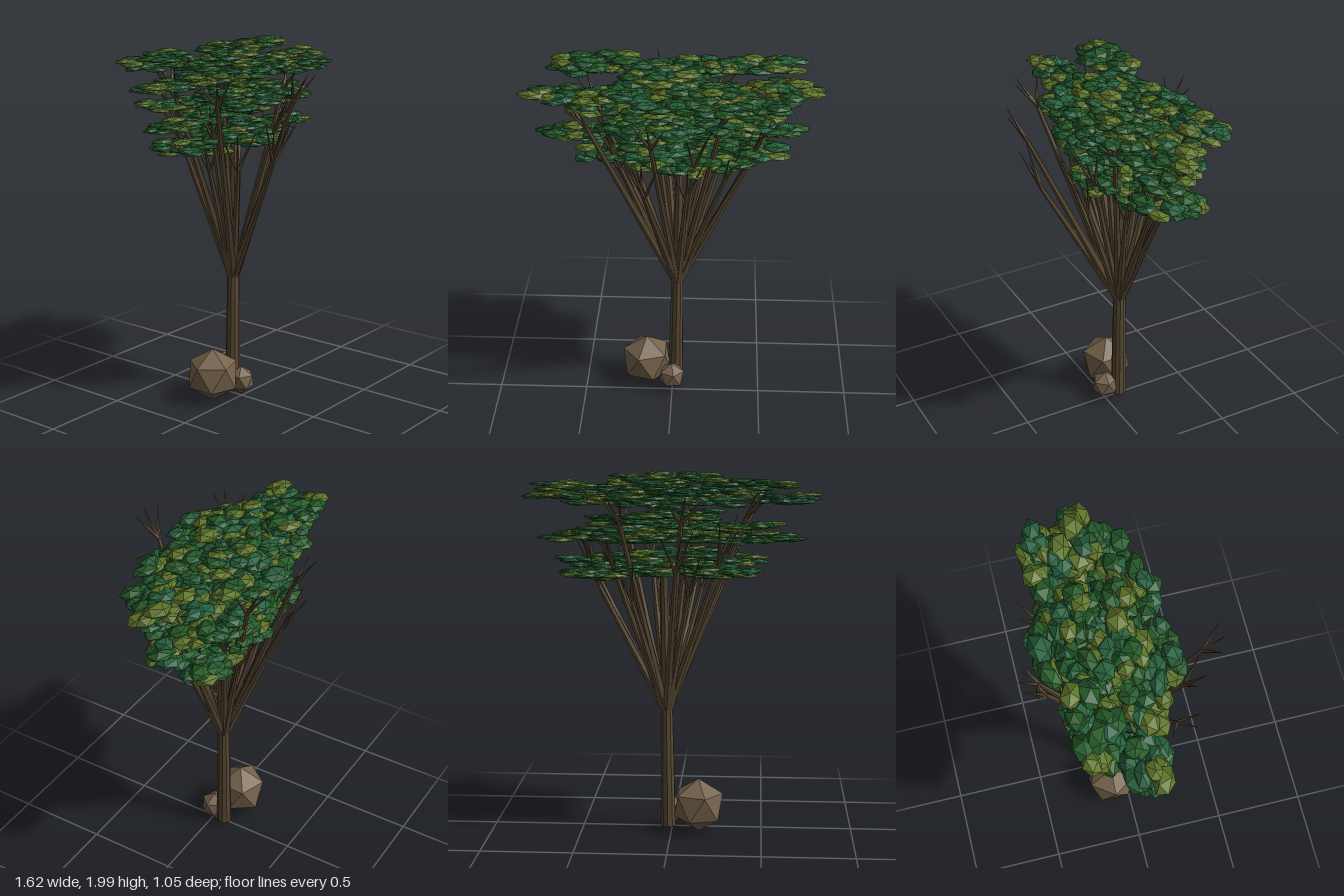
import * as THREE from 'three';
import { mergeGeometries } from 'three/addons/utils/BufferGeometryUtils.js';

let seed = 7;
function rand(a = 0, b = 1) {
  seed = (seed * 16807) % 2147483647;
  return a + (b - a) * (seed / 2147483647);
}

const vec = (x, y, z) => new THREE.Vector3(x, y, z);
const material = (color) => new THREE.MeshStandardMaterial({ color, flatShading: true });

// Tapered round limb between two points
function limb(from, to, r0, r1, sides = 6) {
  const dir = to.clone().sub(from);
  const g = new THREE.CylinderGeometry(r1, r0, dir.length(), sides);
  g.applyQuaternion(new THREE.Quaternion().setFromUnitVectors(vec(0, 1, 0), dir.clone().normalize()));
  const mid = from.clone().add(to).multiplyScalar(0.5);
  return g.translate(mid.x, mid.y, mid.z);
}

// Flattened leaf clump; it keeps the facet normals of the round form so it shades as a full tuft
function clump(x, y, z, rx, ry, rz) {
  const g = new THREE.IcosahedronGeometry(1, 0);
  g.rotateX(rand(0, 6)).rotateZ(rand(0, 6));
  g.attributes.position.applyMatrix4(new THREE.Matrix4().makeScale(rx, ry, rz));
  return g.rotateY(rand(-0.4, 0.4)).translate(x, y, z);
}

// Fork points of the branches [x, y, z], one row per tier
const FORKS = [
  [[-0.25, 1.36, -0.02], [-0.16, 1.36, 0.1], [0.08, 1.34, 0.14], [0.27, 1.36, 0.02], [0.39, 1.4, -0.12], [0.2, 1.34, -0.27], [-0.1, 1.36, -0.27]],
  [[-0.13, 1.43, 0.31], [-0.3, 1.54, 0.05], [0.12, 1.52, 0.12], [0.42, 1.48, -0.05], [0.3, 1.52, -0.25], [-0.04, 1.5, -0.4], [-0.26, 1.53, -0.22]],
  [[-0.09, 1.75, 0.4], [-0.43, 1.76, 0.18], [-0.4, 1.76, -0.12], [0.26, 1.74, 0.08], [0.25, 1.74, -0.35], [-0.07, 1.75, -0.43], [-0.1, 1.76, -0.05]],
];

// Foliage tiers: centres [x, y, z] of the rim pads, and the height range of the inner pads
const TIERS = [
  { low: 1.48, high: 1.57, rim: [[-0.31, 1.54, -0.03], [-0.28, 1.49, -0.2], [0.03, 1.51, 0.05], [0.12, 1.51, -0.24], [0.42, 1.53, -0.06], [0.38, 1.48, -0.22]] },
  { low: 1.66, high: 1.775, rim: [[-0.49, 1.66, -0.02], [-0.4, 1.73, -0.18], [-0.08, 1.71, 0.1], [0.1, 1.69, -0.24], [0.28, 1.75, 0.02], [0.49, 1.67, -0.08], [0.35, 1.7, -0.23]] },
  { low: 1.86, high: 1.975, rim: [[-0.59, 1.865, -0.02], [-0.46, 1.95, -0.23], [-0.34, 1.96, -0.24], [-0.12, 1.9, 0.16], [0.06, 1.87, -0.33],
    [0.24, 1.88, 0.13], [0.49, 1.94, -0.27], [0.59, 1.895, -0.09], [0.47, 1.86, 0.05], [-0.3, 1.89, 0.05], [-0.03, 1.975, -0.1]] },
];

const GREENS = [0x245a28, 0x2a5f2c, 0x28633e, 0x60782c];

export function createModel() {
  seed = 7;
  const model = new THREE.Group();
  const wood = material(0x5a4a35);
  const rock = material(0x75634c);
  const add = (name, geometry, mat, parent = model) => {
    const mesh = new THREE.Mesh(geometry, mat);
    mesh.name = name;
    parent.add(mesh);
    return mesh;
  };

  // Trunk and its central leader
  const crown = vec(0.026, 0.73, -0.08);
  add('trunk', limb(vec(0.018, 0.04, -0.08), crown, 0.043, 0.034, 10), wood);
  add('leader', limb(crown, vec(0.04, 1.48, -0.085), 0.034, 0.022, 8), wood);

  // Branches, each ending in three long pointed twigs
  FORKS.forEach((tier, t) => {
    const parts = [];
    const rise = [0.23, 0.22, 0.16][t];
    for (const p of tier) {
      const fork = vec(...p);
      const out = fork.clone().sub(crown).setY(0);
      const angle = Math.atan2(out.z, out.x);
      const start = crown.clone().addScaledVector(out.normalize(), 0.012);
      start.y -= 0.02;
      parts.push(limb(start, fork, 0.026, 0.012));
      for (const turn of [-0.9, 0, 0.9]) {
        const a = angle + turn + rand(-0.2, 0.2);
        const reach = rand(0.1, 0.125);
        const tip = fork.clone().add(vec(Math.cos(a) * reach, rise + rand(-0.03, 0.02), Math.sin(a) * reach));
        parts.push(limb(fork, tip, 0.012, 0.001, 5));
      }
    }
    add(`branchTier${t + 1}`, mergeGeometries(parts), wood);
  });

  // Foliage: every pad is a sunflower spread of clumps
  TIERS.forEach(({ low, high, rim }, t) => {
    const group = new THREE.Group();
    group.name = `foliageTier${t + 1}`;
    model.add(group);
    const byColor = GREENS.map(() => []);
    // Inner pads circle the leader at alternating heights
    const inner = [0, 1, 2, 3, 4, 5].map((i) => [
      0.03 + Math.cos(i * 1.05) * 0.23,
      THREE.MathUtils.lerp(low, high, (i % 3) / 2),
      -0.09 + Math.sin(i * 1.05) * 0.11,
    ]);
    for (const [x, y, z] of [...rim, ...inner]) {
      const count = 20;
      for (let i = 0; i < count; i++) {
        const r = Math.sqrt((i + 0.5) / count);
        const a = i * 2.4 + x * 9;
        const g = clump(
          x + Math.cos(a) * r * 0.17,
          y + rand(-0.034, 0.013),
          z + Math.sin(a) * r * 0.1,
          rand(0.06, 0.095), rand(0.01, 0.016), rand(0.045, 0.068));
        byColor[Math.floor(rand(0, 3.99))].push(g);
      }
    }
    byColor.forEach((list, i) => {
      const green = new THREE.MeshStandardMaterial({ color: GREENS[i] });
      add(`leaves${i + 1}`, mergeGeometries(list), green, group);
    });
  });

  // Rocks at the foot, standing on a vertex
  const rockGeometry = (r, turn) => new THREE.IcosahedronGeometry(r, 0)
    .rotateZ(Math.atan(2 / (1 + Math.sqrt(5)))).rotateY(turn);
  add('largeRock', rockGeometry(0.152, 0), rock).position.set(-0.15, 0.162, -0.09);
  add('smallRock', rockGeometry(0.08, 0.5), rock).position.set(-0.003, 0.105, -0.003);

  return model;
}
